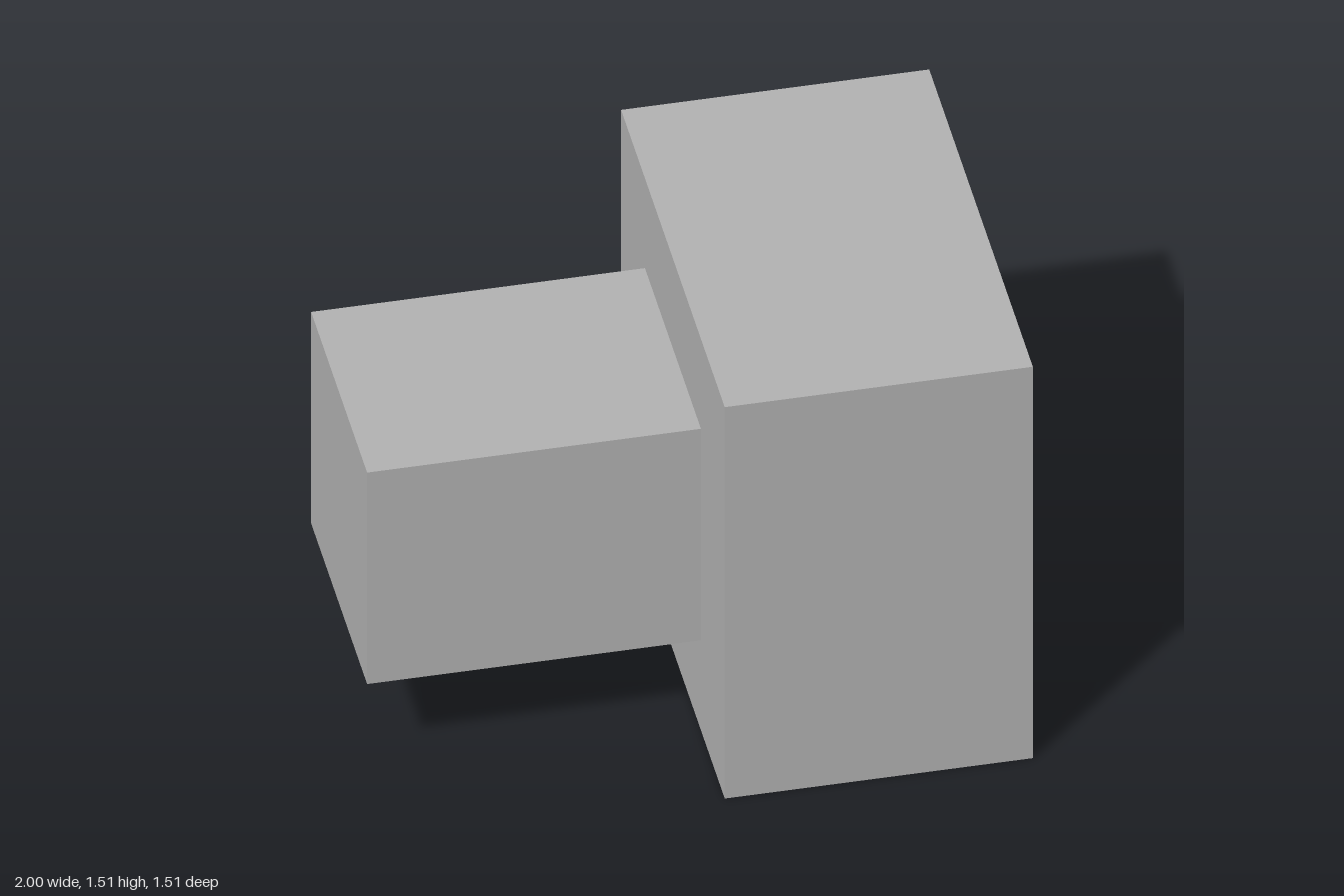
import * as THREE from 'three';

const HEIGHT = 1.51, OPENING = 1.175, STEM = 0.816;
const BACK_X = 0.04, PANEL_X = 0.175, MID_Y = HEIGHT / 2;

// Square outline centred on the origin
function square(size, Type = THREE.Shape) {
  const h = size / 2;
  return new Type([[-h, -h], [h, -h], [h, h], [-h, h]].map(([x, y]) => new THREE.Vector2(x, y)));
}

export function createModel() {
  const model = new THREE.Group();
  const grey = new THREE.MeshStandardMaterial({ name: 'casingGrey', color: 0xb3b3b3 });
  const black = new THREE.MeshStandardMaterial({ name: 'panelBlack', color: 0x0d0d0d });

  function add(name, geometry, material, x) {
    const mesh = new THREE.Mesh(geometry, material);
    mesh.name = name;
    mesh.position.set(x, MID_Y, 0);
    model.add(mesh);
  }

  // Square hood, open towards +x
  const outline = square(HEIGHT);
  outline.holes.push(square(OPENING, THREE.Path));
  const hood = new THREE.ExtrudeGeometry(outline, { depth: 1 - BACK_X, bevelEnabled: false });
  hood.rotateY(Math.PI / 2);
  add('hood', hood, grey, BACK_X);

  // Back wall closing the hood, its inner face black
  const wall = new THREE.BoxGeometry(PANEL_X - BACK_X, OPENING, OPENING);
  add('backWall', wall, [black, grey, grey, grey, grey, grey], (BACK_X + PANEL_X) / 2);

  // Smaller block behind the hood
  const stem = new THREE.BoxGeometry(1 + BACK_X, STEM, STEM);
  add('rearBlock', stem, grey, (BACK_X - 1) / 2);

  return model;
}
